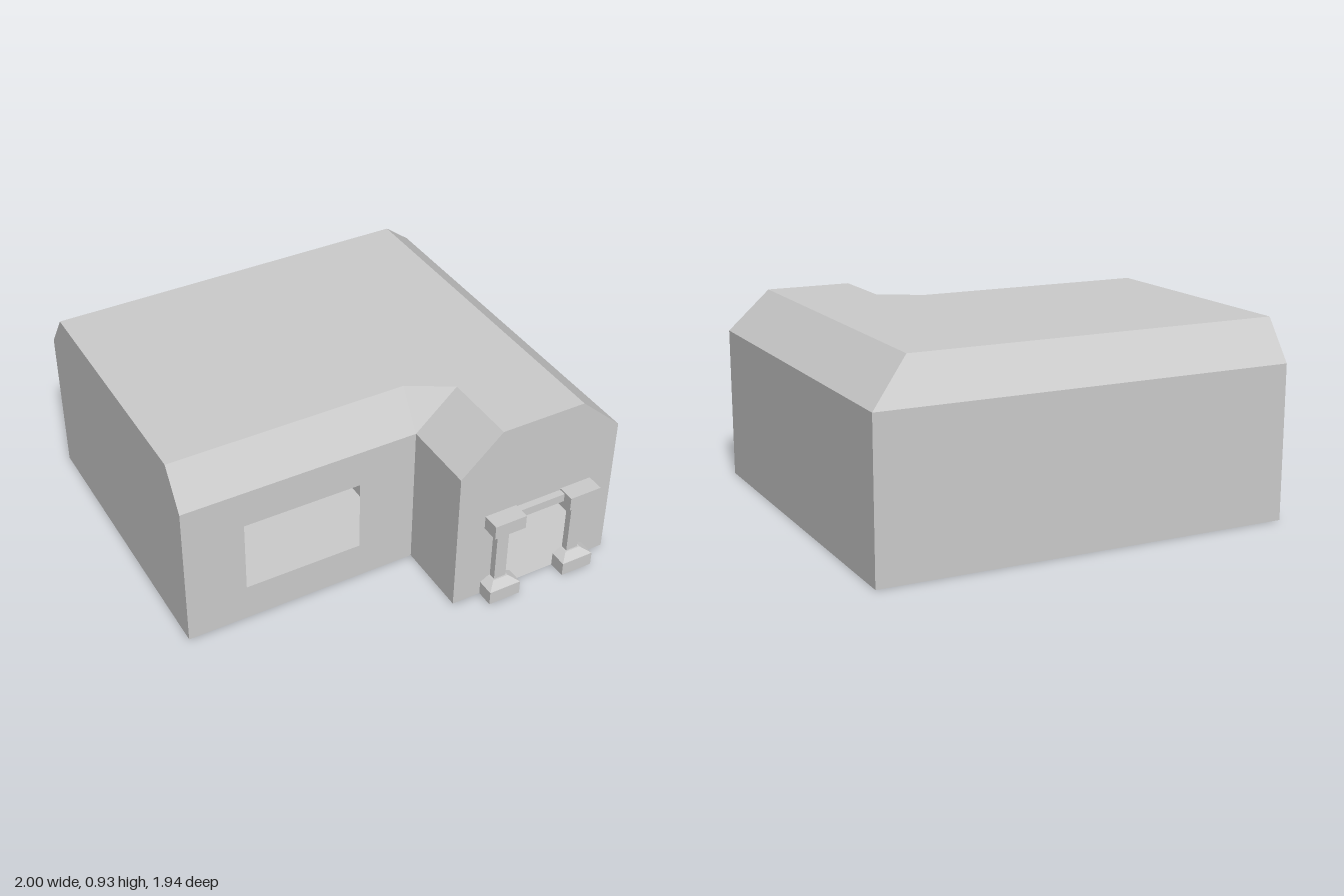
import * as THREE from 'three';

const mat = new THREE.MeshStandardMaterial({ color: 0xcccccc, flatShading: true, side: THREE.DoubleSide });

// Main levels and plan lines
const EAVE = 0.735, TOP = 0.925;
const BACK = -0.97, BACK_RIDGE = -0.83, FRONT = 0.51, FRONT_RIDGE = 0.39, WING = 0.885;
const WX = 0.16, WX_RIDGE = 0.365, RX_RIDGE = 0.79;

export function createModel() {
  const group = new THREE.Group();

  const add = (name, geometry) => {
    const mesh = new THREE.Mesh(geometry, mat);
    mesh.name = name;
    group.add(mesh);
    return mesh;
  };

  // Flat convex panel, corners counter-clockwise from outside
  const panel = (name, ...pts) => {
    const g = new THREE.BufferGeometry();
    const tri = [];
    for (let i = 1; i < pts.length - 1; i++) tri.push(...pts[0], ...pts[i], ...pts[i + 1]);
    g.setAttribute('position', new THREE.Float32BufferAttribute(tri, 3));
    g.computeVertexNormals();
    add(name, g);
  };
  const shape = (pts) => new THREE.Shape(pts.map(([x, y]) => new THREE.Vector2(x, y)));

  // Floor and flat roof, drawn in plan as (x, z)
  const floor = shape([[-1, BACK], [1, BACK], [1, WING], [WX, WING], [WX, FRONT], [-1, FRONT]]);
  add('floor', new THREE.ShapeGeometry(floor).rotateX(Math.PI / 2));
  const deck = [[-1, BACK_RIDGE], [RX_RIDGE, BACK_RIDGE], [RX_RIDGE, WING], [WX_RIDGE, WING],
    [WX_RIDGE, FRONT], [WX, FRONT_RIDGE], [-1, FRONT_RIDGE]];
  add('flatRoof', new THREE.ShapeGeometry(shape(deck.map(([x, z]) => [x, -z])))
    .rotateX(-Math.PI / 2).translate(0, TOP, 0));

  // Front wall with window opening
  const front = shape([[-1, 0], [WX, 0], [WX, EAVE], [-1, EAVE]]);
  front.holes.push(shape([[-0.705, 0.185], [-0.705, 0.55], [-0.125, 0.55], [-0.125, 0.185]]));
  add('frontWall', new THREE.ShapeGeometry(front).translate(0, 0, FRONT));

  // Wing gable with doorway
  const gable = shape([[WX, 0], [0.385, 0], [0.385, 0.44], [0.795, 0.44], [0.795, 0], [1, 0],
    [1, EAVE], [RX_RIDGE, TOP], [WX_RIDGE, TOP], [WX, EAVE]]);
  add('wingFrontWall', new THREE.ShapeGeometry(gable).translate(0, 0, WING));

  // Remaining walls; the wing's inner wall carries on through the house
  panel('sideWall', [1, 0, WING], [1, 0, BACK], [1, EAVE, BACK], [1, EAVE, WING]);
  panel('backWall', [1, 0, BACK], [-1, 0, BACK], [-1, EAVE, BACK], [1, EAVE, BACK]);
  panel('wingInnerWall', [WX, 0, BACK], [WX, 0, WING], [WX, EAVE, WING], [WX, EAVE, BACK]);
  panel('gableEndWall', [-1, 0, BACK], [-1, 0, FRONT], [-1, EAVE, FRONT], [-1, TOP, FRONT_RIDGE],
    [-1, TOP, BACK_RIDGE], [-1, EAVE, BACK]);

  // Roof slopes
  panel('frontSlope', [-1, EAVE, FRONT], [WX, EAVE, FRONT], [WX, TOP, FRONT_RIDGE], [-1, TOP, FRONT_RIDGE]);
  panel('valley', [WX, EAVE, FRONT], [WX_RIDGE, TOP, FRONT], [WX, TOP, FRONT_RIDGE]);
  panel('wingSlope', [WX, EAVE, FRONT], [WX, EAVE, WING], [WX_RIDGE, TOP, WING], [WX_RIDGE, TOP, FRONT]);
  panel('sideSlope', [1, EAVE, WING], [1, EAVE, BACK], [RX_RIDGE, TOP, BACK_RIDGE], [RX_RIDGE, TOP, WING]);
  panel('backSlope', [1, EAVE, BACK], [-1, EAVE, BACK], [-1, TOP, BACK_RIDGE], [RX_RIDGE, TOP, BACK_RIDGE]);

  // Tapered block with its back on the wing wall: half width and depth, below and above
  const block = (name, x, y0, y1, [w0, d0], [w1, d1]) => {
    const g = new THREE.BoxGeometry(2, 1, 1).translate(0, 0.5, 0.5);
    const p = g.attributes.position;
    for (let i = 0; i < p.count; i++) {
      const t = p.getY(i);
      p.setXYZ(i, x + p.getX(i) * (t ? w1 : w0), t ? y1 : y0, WING + p.getZ(i) * (t ? d1 : d0));
    }
    g.computeVertexNormals();
    add(name, g);
  };

  // Porch columns and the lintel between them
  const wide = [0.082, 0.085], neck = [0.04, 0.042], thin = [0.031, 0.035];
  for (const x of [0.387, 0.793]) {
    block('columnBase', x, 0, 0.07, wide, wide);
    block('columnBaseTaper', x, 0.07, 0.095, wide, neck);
    block('columnShaft', x, 0.09, 0.39, thin, thin);
    block('capitalTaper', x, 0.38, 0.4, neck, wide);
    block('capital', x, 0.4, 0.47, wide, wide);
  }
  block('lintel', 0.59, 0.42, 0.462, [0.125, 0.035], [0.125, 0.035]);

  return group;
}
